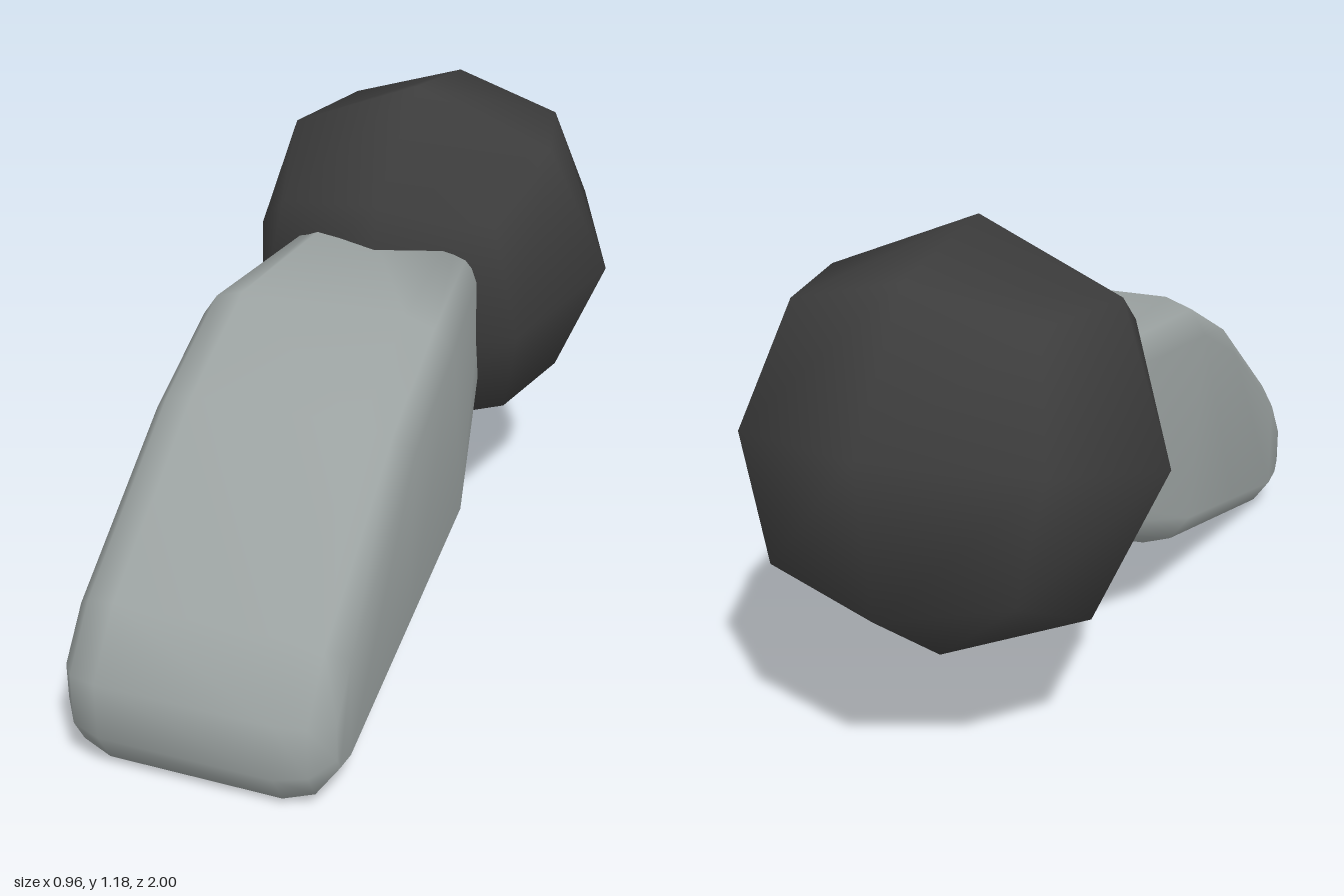
import * as THREE from 'three';

const grey = new THREE.MeshStandardMaterial({ color: 0x9ca3a2 });
grey.name = 'pale grey';
const black = new THREE.MeshStandardMaterial({ color: 0x3d3d3d });
black.name = 'charcoal';

// Shrinks a convex [z, y] outline evenly by d
function inset(points, d) {
  const n = points.length;
  const v = points.map(([z, y]) => new THREE.Vector2(z, y));
  return v.map((p, i) => {
    const a = p.clone().sub(v[(i + n - 1) % n]).normalize();
    const b = v[(i + 1) % n].clone().sub(p).normalize();
    const na = new THREE.Vector2(a.y, -a.x);
    const nb = new THREE.Vector2(b.y, -b.x);
    const m = na.add(nb).normalize();
    const miter = d / Math.max(0.5, m.dot(nb));
    return [p.x + m.x * miter, p.y + m.y * miter];
  });
}

// Bevelled block: side outline lofted across x, narrower at the back
function blockGeometry() {
  const outline = [
    [-0.4, 0.87], [0.22, 0.827], [0.5, 0.68], [0.9, 0.375], [1.0, 0.235],
    [0.995, 0.1],
    [0.945, 0.02], [0.83, 0.003], [0.45, 0.114], [0.07, 0.225], [-0.4, 0.46],
  ];
  const n = outline.length;
  const layers = [[-0.31, 0.08], [-0.268, 0.022], [-0.2, 0], [0.2, 0], [0.268, 0.022], [0.31, 0.08]];
  const pos = [];
  const index = [];
  for (const [x, d] of layers) {
    inset(outline, d).forEach(([z, y], j) => {
      const taper = j === 0 || j === n - 1 ? 0.72 : 1;
      pos.push(x * taper, y, z);
    });
  }
  for (let i = 0; i < layers.length - 1; i++) {
    for (let j = 0; j < n; j++) {
      const a = i * n + j;
      const b = i * n + (j + 1) % n;
      index.push(a, b, b + n, a, b + n, a + n);
    }
  }
  // Side faces, as strips between the top and bottom of the outline
  const last = (layers.length - 1) * n;
  const side = (a, b, c) => index.push(last + a, last + b, last + c, a, c, b);
  for (let t = 0; t < (n - 1) / 2; t++) {
    side(t, t + 1, n - 2 - t);
    if (n - 2 - t !== t + 1) side(t, n - 2 - t, n - 1 - t);
    else side(t, t + 1, n - 1 - t);
  }
  const g = new THREE.BufferGeometry();
  g.setAttribute('position', new THREE.Float32BufferAttribute(pos, 3));
  // drop empty triangles
  const clean = [];
  for (let k = 0; k < index.length; k += 3) {
    const [a, b, c] = index.slice(k, k + 3);
    if (a !== b && b !== c && a !== c) clean.push(a, b, c);
  }
  g.setIndex(clean);
  g.computeVertexNormals();
  return g;
}

// Low-poly ball: a subdivided cube pushed out to a sphere, shaded smooth
function ballGeometry(radius) {
  const g = new THREE.BoxGeometry(1, 1, 1, 2, 2, 2);
  const p = g.attributes.position;
  const v = new THREE.Vector3();
  for (let i = 0; i < p.count; i++) {
    v.fromBufferAttribute(p, i).normalize();
    g.attributes.normal.setXYZ(i, v.x, v.y, v.z);
    p.setXYZ(i, v.x * radius, v.y * radius, v.z * radius);
  }
  return g;
}

export function createModel() {
  const model = new THREE.Group();
  model.name = 'model';

  // Slight sideways lean about the ball centre
  const lean = new THREE.Group();
  lean.name = 'leaningParts';
  lean.position.set(0, 0.72, 0);
  lean.rotation.z = -0.012;
  model.add(lean);

  const block = new THREE.Mesh(blockGeometry(), grey);
  block.name = 'bevelledBlock';
  block.position.set(-0.006, -0.72, 0);
  lean.add(block);

  const ball = new THREE.Mesh(ballGeometry(0.482), black);
  ball.name = 'ball';
  ball.position.set(0, 0, -0.537);
  ball.rotation.x = 0.276;
  lean.add(ball);

  return model;
}
